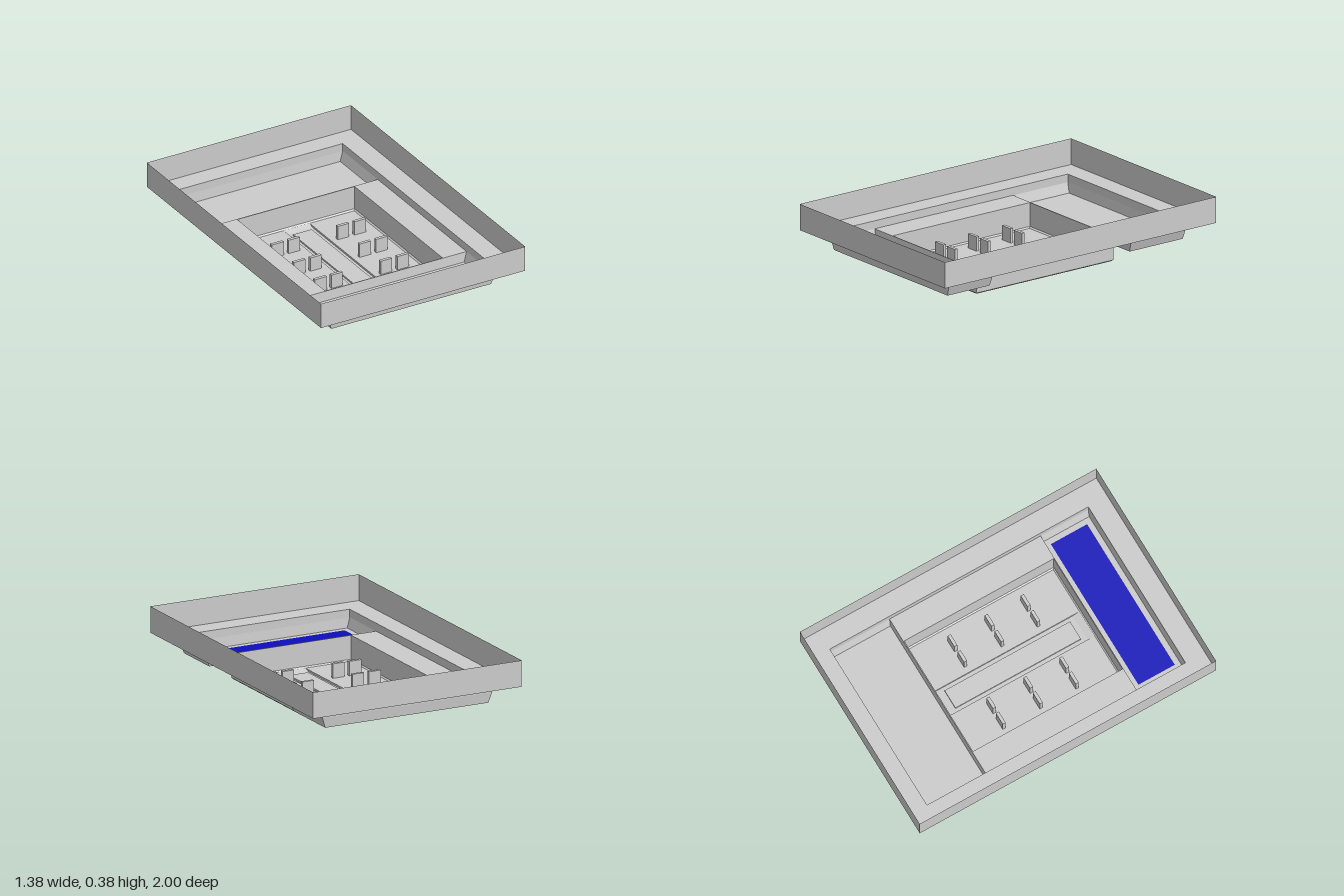
import * as THREE from 'three';

// A rectangle seen from above: [x0, x1, z0, z1]
const RIM = [-0.69, 0.69, -1, 1];
const OPENING = [-0.56, 0.56, -0.875, 0.87];
const SHELF = [-0.56, 0.56, -0.472, 0.548];
const BOX = [-0.393, 0.4, -0.466, 0.543];
const FLOOR = [-0.384, 0.391, -0.456, 0.535];
const GROOVE = [-0.085, 0.09, -0.455, 0.534];
const GROOVE_BASE = [-0.085, 0.09, -0.42, 0.49];
const SLOT = [-0.06, 0.065, -0.39, 0.457];
const PANEL = [-0.505, 0.505, 0.585, 0.83];

const grey = new THREE.MeshStandardMaterial({ color: 0xcccccc, side: THREE.DoubleSide, flatShading: true });
const blue = new THREE.MeshStandardMaterial({ color: 0x0d0dbb, side: THREE.DoubleSide, flatShading: true });

const corners = ([x0, x1, z0, z1]) => [[x0, z0], [x0, z1], [x1, z1], [x1, z0]];

function add(group, name, geometry, material = grey) {
  const mesh = new THREE.Mesh(geometry, material);
  mesh.name = name;
  group.add(mesh);
}

// Flat sheet at height y with rectangular holes
function sheet(rect, y, holes = []) {
  const points = r => corners(r).map(([x, z]) => new THREE.Vector2(x, -z));
  const shape = new THREE.Shape(points(rect));
  holes.forEach(h => shape.holes.push(new THREE.Path(points(h).reverse())));
  return new THREE.ShapeGeometry(shape).rotateX(-Math.PI / 2).translate(0, y, 0);
}

// Four-sided wall through a stack of [rectangle, height] sections, top to bottom
function wall(...sections) {
  const pos = [];
  for (let s = 0; s + 1 < sections.length; s++) {
    const [a, b] = [sections[s], sections[s + 1]].map(([r, y]) => corners(r).map(([x, z]) => [x, y, z]));
    for (let i = 0; i < 4; i++) {
      const j = (i + 1) % 4;
      pos.push(...a[i], ...b[i], ...b[j], ...a[i], ...b[j], ...a[j]);
    }
  }
  const geometry = new THREE.BufferGeometry();
  geometry.setAttribute('position', new THREE.Float32BufferAttribute(pos, 3));
  geometry.computeVertexNormals();
  return geometry;
}

export function createModel() {
  const model = new THREE.Group();
  model.name = 'tray';

  // Outer rim and its ledge
  add(model, 'rimWall', wall([RIM, 0.375], [RIM, 0.215]));
  add(model, 'rimLedge', sheet(RIM, 0.215, [OPENING]));
  add(model, 'openingWall', wall([OPENING, 0.215], [OPENING, 0.166]));

  // Shallow basins at both ends, tapering to their floors
  const basins = [
    ['backBasin', [-0.56, 0.56, -0.875, -0.472], []],
    ['frontBasin', [-0.56, 0.56, 0.548, 0.87], [PANEL]],
  ];
  for (const [name, [x0, x1, z0, z1], holes] of basins) {
    const base = [x0 + 0.02, x1 - 0.02, z0 + 0.006, z1 - 0.006];
    add(model, name + 'Wall', wall([[x0, x1, z0, z1], 0.166], [base, 0.105]));
    add(model, name + 'Floor', sheet(base, 0.105, holes));
  }
  add(model, 'bluePanel', sheet(PANEL, 0.105), blue);

  // Deep central compartment below the shelf
  add(model, 'shelf', sheet(SHELF, 0.166, [BOX]));
  add(model, 'compartmentWall', wall([BOX, 0.166], [BOX, 0.02], [FLOOR, 0.012]));

  // Hollow upright tabs, open underneath
  const tabs = [];
  for (const z of [-0.21, 0.04, 0.283])
    for (const [x0, x1] of [[-0.315, -0.235], [-0.203, -0.127], [0.13, 0.206], [0.242, 0.32]])
      tabs.push([x0, x1, z - 0.01, z + 0.01]);
  const tabGroup = new THREE.Group();
  tabGroup.name = 'tabs';
  for (const t of tabs) {
    add(tabGroup, 'tabWall', wall([t, 0.1], [t, 0.012]));
    add(tabGroup, 'tabTop', sheet(t, 0.1));
  }
  model.add(tabGroup);
  add(model, 'compartmentFloor', sheet(FLOOR, 0.012, [GROOVE, ...tabs]));

  // Long groove with sloping ends and a raised strip
  add(model, 'grooveWall', wall([GROOVE, 0.012], [GROOVE_BASE, 0]));
  add(model, 'grooveFloor', sheet(GROOVE_BASE, 0, [SLOT]));
  add(model, 'grooveStripWall', wall([SLOT, 0.01], [SLOT, 0]));
  add(model, 'grooveStrip', sheet(SLOT, 0.01));
  return model;
}
